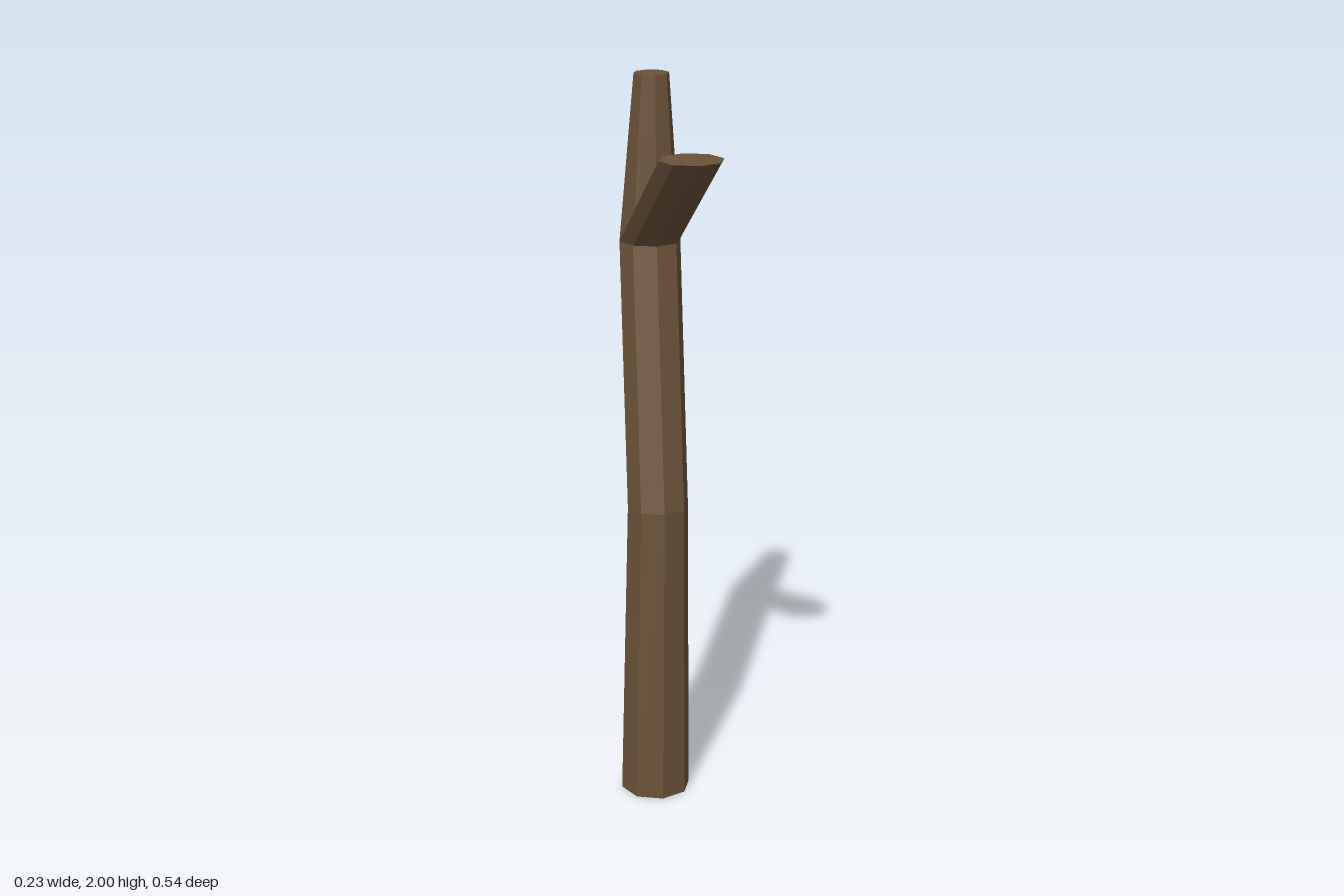
import * as THREE from 'three';

const bark = new THREE.MeshStandardMaterial({ color: 0x6b5238, flatShading: true });

// Level octagonal rings, listed top to bottom as [x, y, z, radius]
const fork = [0.004, 1.55, -0.187, 0.084];
const trunkRings = [
  [0.008, 2, -0.185, 0.048],
  fork,
  [-0.009, 0.845, -0.032, 0.084],
  [-0.017, 0, -0.031, 0.097],
];
const branchRings = [[0.03, 1.838, 0.184, 0.085], fork];

// Capped eight-sided limb whose rows are moved onto the given rings
function limb(name, rings) {
  const rows = rings.length - 1;
  const geometry = new THREE.CylinderGeometry(1, 1, 1, 8, rows);
  const p = geometry.attributes.position;
  for (let i = 0; i < p.count; i++) {
    const [x, y, z, r] = rings[Math.round((0.5 - p.getY(i)) * rows)];
    p.setXYZ(i, x + p.getX(i) * r, y, z + p.getZ(i) * r);
  }
  geometry.computeVertexNormals();
  const mesh = new THREE.Mesh(geometry, bark);
  mesh.name = name;
  return mesh;
}

export function createModel() {
  const model = new THREE.Group();
  model.name = 'deadTree';
  model.add(limb('trunk', trunkRings), limb('branch', branchRings));
  return model;
}
